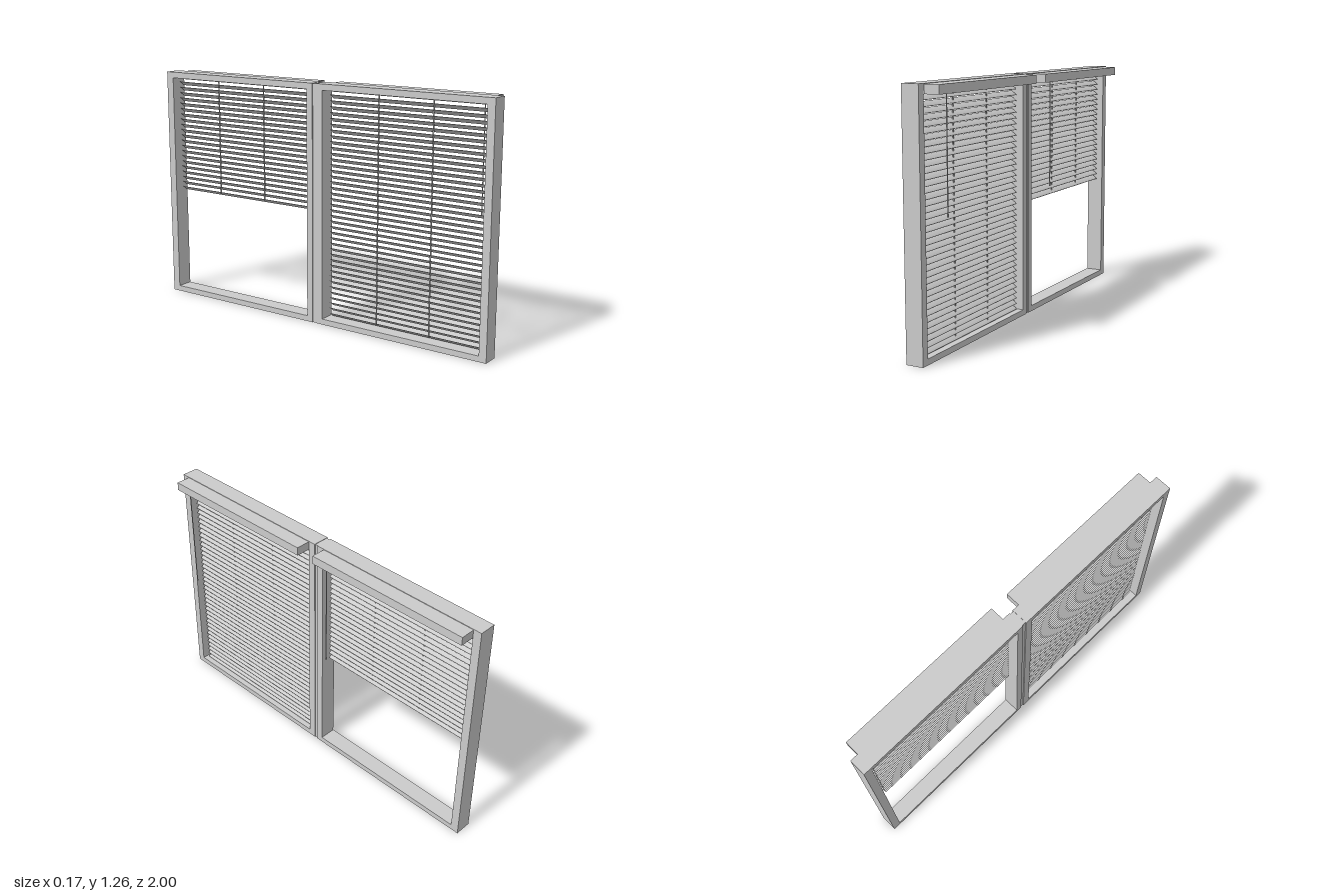
import * as THREE from 'three';

const material = new THREE.MeshStandardMaterial({ color: 0xcccccc });

function add(group, name, geometry, x = 0, y = 0, z = 0) {
  const mesh = new THREE.Mesh(geometry, material);
  mesh.name = name;
  mesh.position.set(x, y, z);
  group.add(mesh);
  return mesh;
}

// Box given by its lower and upper limits
function block(group, name, x0, x1, y0, y1, z0, z1) {
  return add(group, name, new THREE.BoxGeometry(x1 - x0, y1 - y0, z1 - z0),
    (x0 + x1) / 2, (y0 + y1) / 2, (z0 + z1) / 2);
}

// Rectangular casing with one opening, z0..z1 outside and a..b inside
function casing(group, z0, z1, a, b) {
  const [back, front, top] = [-0.083, 0.006, 1.26];
  block(group, 'bottomRail', back, front, 0, 0.03, z0, z1);
  block(group, 'topRail', back, front, 1.228, top, z0, z1);
  block(group, 'sideStile', back, front, 0.03, 1.228, z0, a);
  block(group, 'sideStile', back, front, 0.03, 1.228, b, z1);
}

// Tilted, slightly crowned slat running along z
function slatGeometry(length) {
  const s = new THREE.Shape();
  const w = 0.0145, h = 0.0105, t = 0.0008;
  s.moveTo(-w, h - t);
  s.quadraticCurveTo(0.0022, 0.0028 - t, w, -h - t);
  s.lineTo(w, -h + t);
  s.quadraticCurveTo(0.0022, 0.0028 + t, -w, h + t);
  s.closePath();
  const g = new THREE.ExtrudeGeometry(s, { depth: length, bevelEnabled: false, curveSegments: 4 });
  return g.translate(0, 0, -length / 2);
}

function blind({ name, rail, slats, count, bottom, cords, wand }) {
  const group = new THREE.Group();
  group.name = name;
  const slatX = -0.034, top = 1.195;
  block(group, 'headRail', 0.006, 0.083, 1.213, 1.257, rail[0], rail[1]);

  // Slats
  const geometry = slatGeometry(slats[1] - slats[0]);
  for (let i = 0; i < count; i++) {
    add(group, 'slat', geometry, slatX,
      top + (bottom - top) * i / (count - 1), (slats[0] + slats[1]) / 2);
  }

  // Lift cords through the slats
  for (const z of cords) {
    block(group, 'liftCord', slatX - 0.002, slatX + 0.002, bottom, 1.228, z - 0.003, z + 0.003);
  }

  // Tilt wand with a thicker grip at its end
  add(group, 'tiltWand', new THREE.CylinderGeometry(0.0028, 0.0028, 0.53, 8), 0.068, 0.95, wand);
  add(group, 'wandTip', new THREE.CylinderGeometry(0.0028, 0.0045, 0.025, 8), 0.068, 0.6795, wand);
  return group;
}

export function createModel() {
  const model = new THREE.Group();
  model.name = 'doubleWindowWithBlinds';

  const frame = new THREE.Group();
  frame.name = 'windowFrame';
  casing(frame, 0.01, 1, 0.05, 0.96);
  casing(frame, -1, -0.01, -0.957, -0.045);
  // Recessed strip joining the two casings
  block(frame, 'centreMullion', -0.078, 0.001, 0, 1.258, -0.01, 0.01);
  model.add(frame);

  model.add(blind({
    name: 'loweredBlind', rail: [0.05, 0.957], slats: [0.075, 0.94],
    count: 40, bottom: 0.048, cords: [0.66, 0.355], wand: 0.875,
  }));
  model.add(blind({
    name: 'raisedBlind', rail: [-0.957, -0.052], slats: [-0.938, -0.07],
    count: 21, bottom: 0.603, cords: [-0.36, -0.667], wand: -0.132,
  }));
  return model;
}
